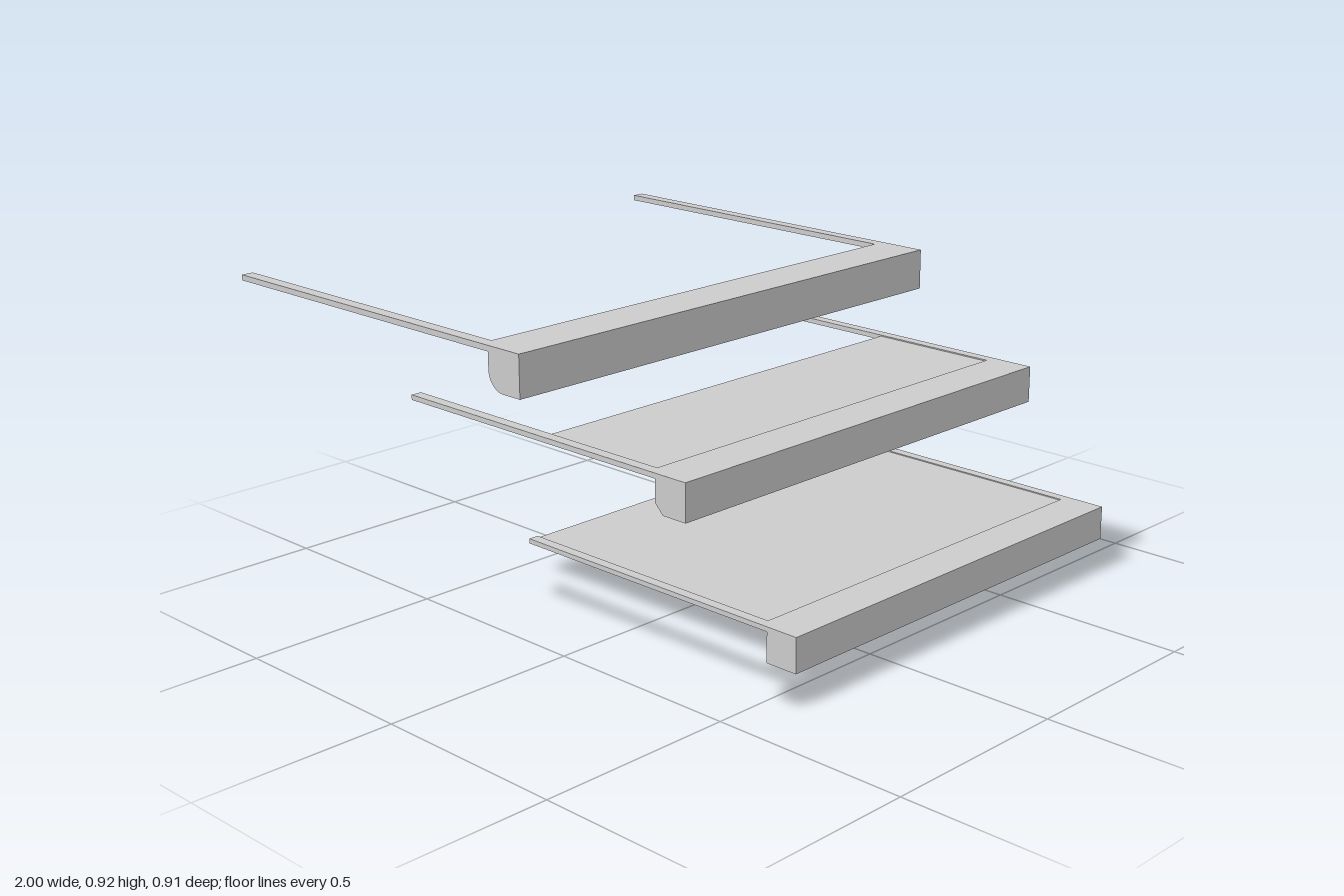
import * as THREE from 'three';

const grey = new THREE.MeshStandardMaterial({ color: 0xcccccc, flatShading: true });
const smooth = new THREE.MeshStandardMaterial({ color: 0xcccccc });

const WIDTH = 1.204, FRONT = 0.453, BACK = -0.453, BOX_BACK = 0.363, LIP = 0.341;
const HEIGHT = 0.09, PLATE = 0.0125, RAIL = 0.028;

function box(name, x0, x1, y0, y1, z0, z1) {
  const mesh = new THREE.Mesh(new THREE.BoxGeometry(x1 - x0, y1 - y0, z1 - z0), grey);
  mesh.position.set((x0 + x1) / 2, (y0 + y1) / 2, (z0 + z1) / 2);
  mesh.name = name;
  return mesh;
}

// Extrudes a (z, y) profile along x, centred on x = 0
function alongX(name, shape, length, material = grey) {
  const geo = new THREE.ExtrudeGeometry(shape, { depth: length, bevelEnabled: false, curveSegments: 16 });
  geo.rotateY(-Math.PI / 2); // shape x -> z, depth -> -x
  geo.translate(length / 2, 0, 0);
  const mesh = new THREE.Mesh(geo, material);
  mesh.name = name;
  return mesh;
}

// Cassette section with a square, chamfered or rounded lower back edge
function cassetteShape(style) {
  const s = new THREE.Shape();
  s.moveTo(FRONT, 0);
  s.lineTo(FRONT, HEIGHT);
  s.lineTo(LIP, HEIGHT);
  s.lineTo(LIP, HEIGHT - PLATE);
  s.lineTo(BOX_BACK, HEIGHT - PLATE);
  if (style === 'round') {
    const r = 0.042;
    s.lineTo(BOX_BACK, r);
    s.absarc(BOX_BACK + r, r, r, Math.PI, Math.PI * 1.5, false);
  } else if (style === 'chamfer') {
    s.lineTo(BOX_BACK, 0.023);
    s.lineTo(BOX_BACK + 0.023, 0);
  } else {
    s.lineTo(BOX_BACK, 0);
  }
  s.closePath();
  return s;
}

// Pull bar: flat flange under the fabric with a tapered grip below
function pullBarShape(z) {
  const top = HEIGHT - 0.0045, under = HEIGHT - PLATE, low = under - 0.011;
  const s = new THREE.Shape();
  [[-0.015, top], [-0.015, under], [-0.008, under], [-0.005, low],
    [0.005, low], [0.008, under], [0.015, under], [0.015, top]]
    .forEach(([dz, y], i) => (i ? s.lineTo(z + dz, y) : s.moveTo(z + dz, y)));
  s.closePath();
  return s;
}

function awning(name, style, x, y, barZ) {
  const unit = new THREE.Group();
  unit.name = name;
  unit.position.set(x, y, 0);
  const half = WIDTH / 2, inner = half - RAIL;

  unit.add(alongX('cassette', cassetteShape(style), WIDTH, style === 'round' ? smooth : grey));

  // Guide rails on both sides
  for (const side of [-1, 1]) {
    const a = side * half, b = side * inner;
    unit.add(box(side > 0 ? 'leftRail' : 'rightRail',
      Math.min(a, b), Math.max(a, b), HEIGHT - PLATE, HEIGHT, BACK, LIP));
  }

  unit.add(alongX('pullBar', pullBarShape(barZ), inner * 2));

  // Fabric drawn out from the cassette to the pull bar
  if (barZ < LIP) {
    unit.add(box('fabric', -inner, inner, HEIGHT - 0.0045, HEIGHT - 0.003, barZ - 0.015, LIP));
  }
  return unit;
}

export function createModel() {
  const model = new THREE.Group();
  model.name = 'awnings';
  model.add(
    awning('retractedAwning', 'round', -0.398, 0.825, 0.359),
    awning('halfOpenAwning', 'chamfer', 0.046, 0.457, 0.015),
    awning('openAwning', 'square', 0.398, 0, -0.434),
  );
  return model;
}
